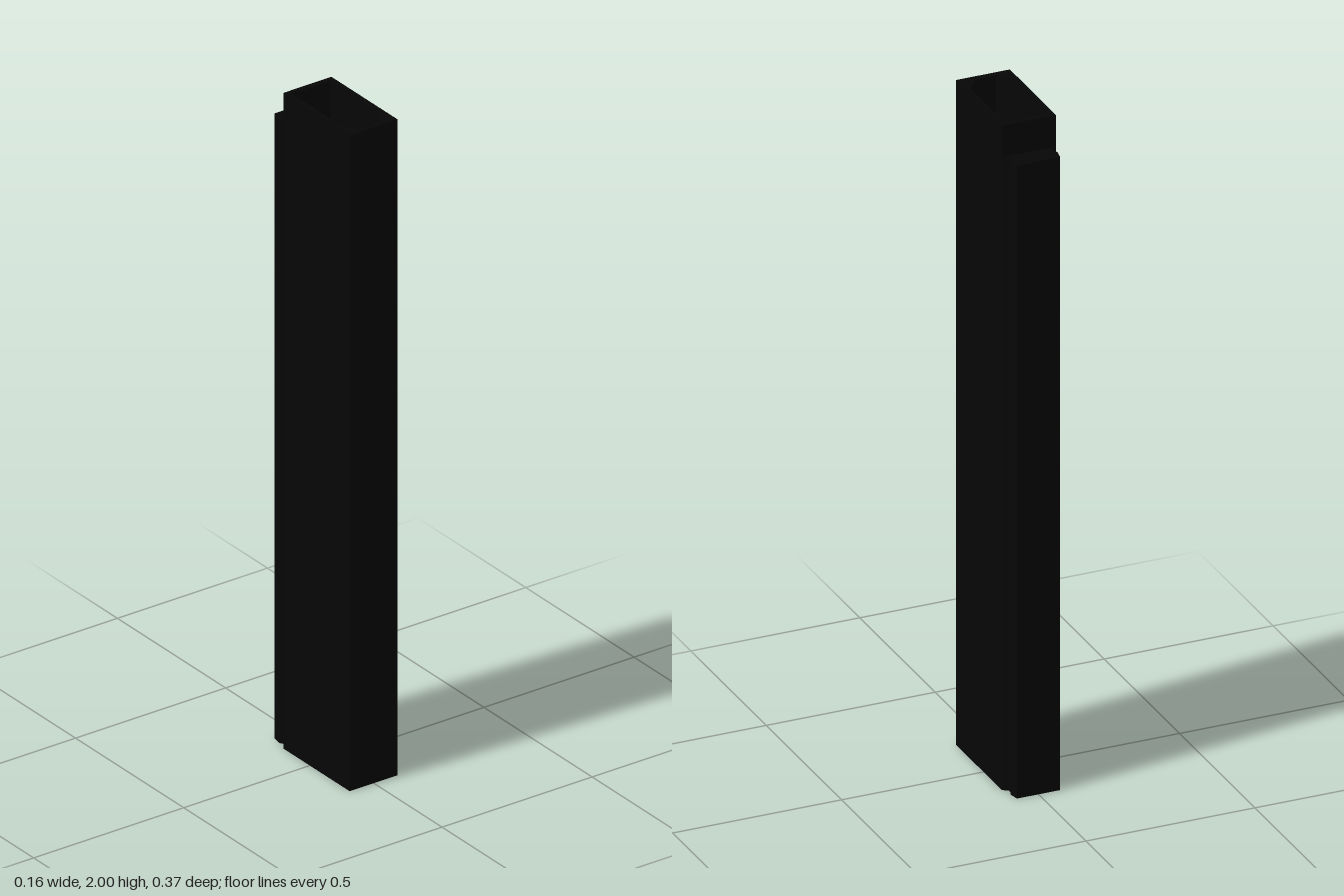
import * as THREE from 'three';

const material = new THREE.MeshStandardMaterial({ color: 0x060606 });

// Points are [x, z] on the right half; mirrored to a closed outline.
function mirrored(half, Type = THREE.Shape) {
  const left = half.map(([x, z]) => [-x, z]).reverse();
  return new Type([...half, ...left].map(([x, z]) => new THREE.Vector2(x, -z)));
}

// Upright prism from a plan outline.
function prism(name, shape, bottom, top) {
  const geometry = new THREE.ExtrudeGeometry(shape, { depth: top - bottom, bevelEnabled: false });
  geometry.rotateX(-Math.PI / 2);
  geometry.translate(0, bottom, 0);
  const mesh = new THREE.Mesh(geometry, material);
  mesh.name = name;
  return mesh;
}

export function createModel() {
  const group = new THREE.Group();
  group.name = 'hollowCase';
  const outline = [[0.08, 0.184], [0.08, -0.122]];
  const floorTop = 0.03;

  // Tube walls, with a cavity chamfered towards the front
  const walls = mirrored(outline);
  walls.holes.push(mirrored([[0.03, 0.165], [0.065, 0.12], [0.065, -0.105]], THREE.Path));
  group.add(prism('walls', walls, floorTop, 2));

  // Closed bottom
  group.add(prism('floor', mirrored(outline), 0, floorTop));

  // Shorter dovetailed spine along the back
  const spine = mirrored([
    [0.08, -0.122], [0.064, -0.133], [0.064, -0.145],
    [0.07, -0.155], [0.064, -0.186],
  ]);
  group.add(prism('spine', spine, 0, 1.905));

  return group;
}
